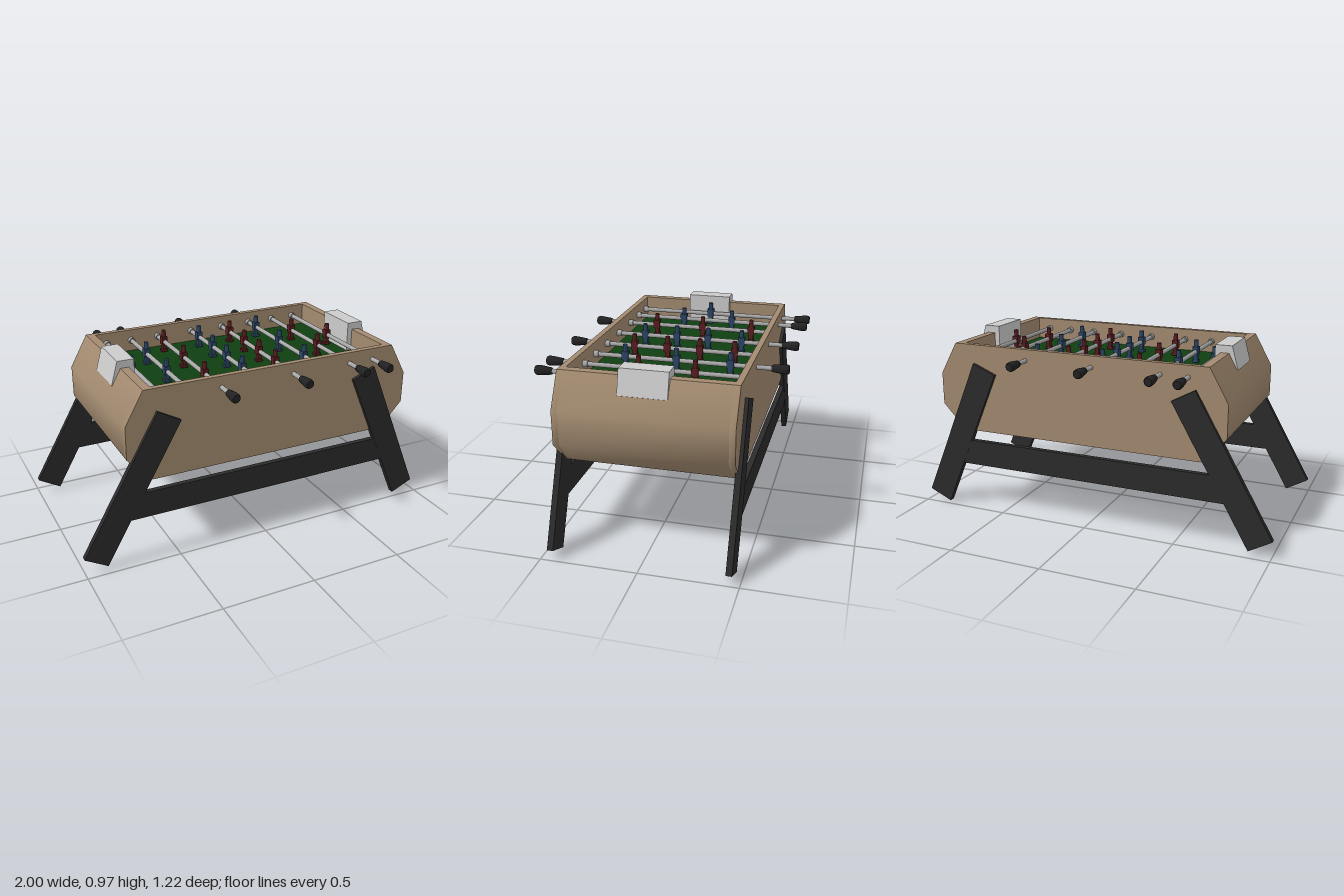
import * as THREE from 'three';
import { toCreasedNormals } from 'three/addons/utils/BufferGeometryUtils.js';

const mat = (color) => new THREE.MeshStandardMaterial({ color });
const WOOD = mat(0xa38b70), BLACK = mat(0x2b2b2b), GREEN = mat(0x0f3f11), STEEL = mat(0xa6a6a6);
const GREY = mat(0xcccccc), BLUE = mat(0x2c4566), RED = mat(0x5a1d20), RUBBER = mat(0x222222);

const CX = 0.067;      // centre of the cabinet along x
const HALF = 0.445;    // half depth of the cabinet
const INNER = 0.414;   // half depth of the playing field
const FLOOR = 0.8, ROD_Y = 0.87;

function add(parent, name, geometry, material, x = 0, y = 0, z = 0) {
  const m = new THREE.Mesh(geometry, material);
  m.name = name;
  m.position.set(x, y, z);
  parent.add(m);
  return m;
}

// Extrude an xy outline between two z planes
function slab(points, z0, z1, crease = 0.1) {
  const shape = new THREE.Shape(points.map(([x, y]) => new THREE.Vector2(x, y)));
  const g = new THREE.ExtrudeGeometry(shape, { depth: z1 - z0, bevelEnabled: false });
  g.translate(0, 0, z0);
  return toCreasedNormals(g, crease);
}

function buildCabinet() {
  const cabinet = new THREE.Group();
  cabinet.name = 'cabinet';
  const right = [[0.685, 0.445], [0.815, 0.58], [0.815, 0.755], [0.717, 0.93]];
  const left = right.map(([x, y]) => [-x, y]).reverse();
  const place = (pts) => pts.map(([x, y]) => [x + CX, y]);
  const full = place([...right, ...left]);
  // Middle section has a notch in its top for the playing field
  const notch = [[0.672, 0.93], [0.672, FLOOR], [-0.672, FLOOR], [-0.672, 0.93]];
  const hollow = place([...right, ...notch, ...left]);
  add(cabinet, 'frontPanel', slab(full, INNER, HALF, 0.785), WOOD);
  add(cabinet, 'backPanel', slab(full, -HALF, -INNER, 0.785), WOOD);
  add(cabinet, 'endsAndBase', slab(hollow, -INNER, INNER, 0.785), WOOD);
  add(cabinet, 'playingField', new THREE.BoxGeometry(1.344, 0.008, INNER * 2), GREEN, CX, FLOOR + 0.003, 0);
  // Goal box at each end, sloping on the outside
  for (const s of [-1, 1]) {
    const pts = [[0.643, FLOOR + 0.002], [0.70, FLOOR + 0.002], [0.768, 0.845], [0.733, 0.97], [0.643, 0.97]]
      .map(([x, y]) => [CX + s * x, y]);
    add(cabinet, s > 0 ? 'leftGoal' : 'rightGoal', slab(pts, -0.115, 0.131), GREY);
  }
  return cabinet;
}

function buildTrestle(side) {
  const trestle = new THREE.Group();
  trestle.name = side > 0 ? 'frontTrestle' : 'backTrestle';
  const z0 = side > 0 ? 0.432 : -0.463, z1 = z0 + 0.031;
  add(trestle, 'rightLeg', slab([[-0.585, 0.812], [-1, 0.09], [-0.88, 0.02], [-0.463, 0.745]], z0, z1), BLACK);
  add(trestle, 'leftLeg', slab([[0.537, 0.775], [0.87, 0.003], [0.997, 0.058], [0.668, 0.828]], z0, z1), BLACK);
  add(trestle, 'crossBeam', slab([[-0.8, 0.25], [0.82, 0.25], [0.76, 0.39], [-0.72, 0.39]], z0 + 0.001, z1 - 0.001), BLACK);
  return trestle;
}

// Small figure clamped on the rod
function buildPlayer(material, z) {
  const player = new THREE.Group();
  player.name = 'player';
  player.position.set(0, ROD_Y, z);
  add(player, 'torso', new THREE.BoxGeometry(0.032, 0.046, 0.036), material, 0, 0.006, 0);
  add(player, 'head', new THREE.CylinderGeometry(0.012, 0.013, 0.036, 12), material, 0, 0.047, 0);
  add(player, 'legs', new THREE.BoxGeometry(0.02, 0.032, 0.026), material, 0, -0.032, 0);
  add(player, 'feet', new THREE.BoxGeometry(0.036, 0.014, 0.03), material, 0, -0.052, 0);
  return player;
}

function buildRod({ x, side, team, players }) {
  const rod = new THREE.Group();
  rod.name = 'rod';
  rod.position.x = x;
  const outer = 0.54;
  const bar = new THREE.CylinderGeometry(0.012, 0.012, INNER + outer, 16).rotateX(Math.PI / 2);
  add(rod, 'bar', bar, STEEL, 0, ROD_Y, side * (outer - INNER) / 2);
  // Bearings against both inner walls
  for (const s of [-1, 1]) {
    add(rod, 'bearing', new THREE.CylinderGeometry(0.018, 0.018, 0.025, 16).rotateX(Math.PI / 2),
      STEEL, 0, ROD_Y, s * (INNER - 0.0125));
  }
  // Tapered grip
  const profile = [[0, 0], [0.015, 0], [0.018, 0.004], [0.025, 0.06], [0.025, 0.08], [0.02, 0.089], [0, 0.089]]
    .map(([r, h]) => new THREE.Vector2(r, h));
  const grip = toCreasedNormals(new THREE.LatheGeometry(profile, 20), 0.6).rotateX(side * Math.PI / 2);
  add(rod, 'handle', grip, RUBBER, 0, ROD_Y, side * 0.52);
  for (const z of players) rod.add(buildPlayer(team, z));
  return rod;
}

export function createModel() {
  const model = new THREE.Group();
  model.name = 'tableFootball';
  model.add(buildCabinet());
  for (const s of [-1, 1]) model.add(buildTrestle(s));

  const one = [-0.008], two = [-0.168, 0.122], three = [-0.312, -0.03, 0.243];
  const four = [-0.297, -0.11, 0.067, 0.25];
  const rods = [
    { x: -0.543, side: -1, team: BLUE, players: one },
    { x: -0.398, side: -1, team: BLUE, players: two },
    { x: -0.237, side: 1, team: RED, players: three },
    { x: -0.025, side: -1, team: BLUE, players: four },
    { x: 0.173, side: 1, team: RED, players: four },
    { x: 0.355, side: -1, team: BLUE, players: three },
    { x: 0.515, side: 1, team: RED, players: two },
    { x: 0.66, side: 1, team: RED, players: one },
  ];
  for (const r of rods) model.add(buildRod(r));
  return model;
}
